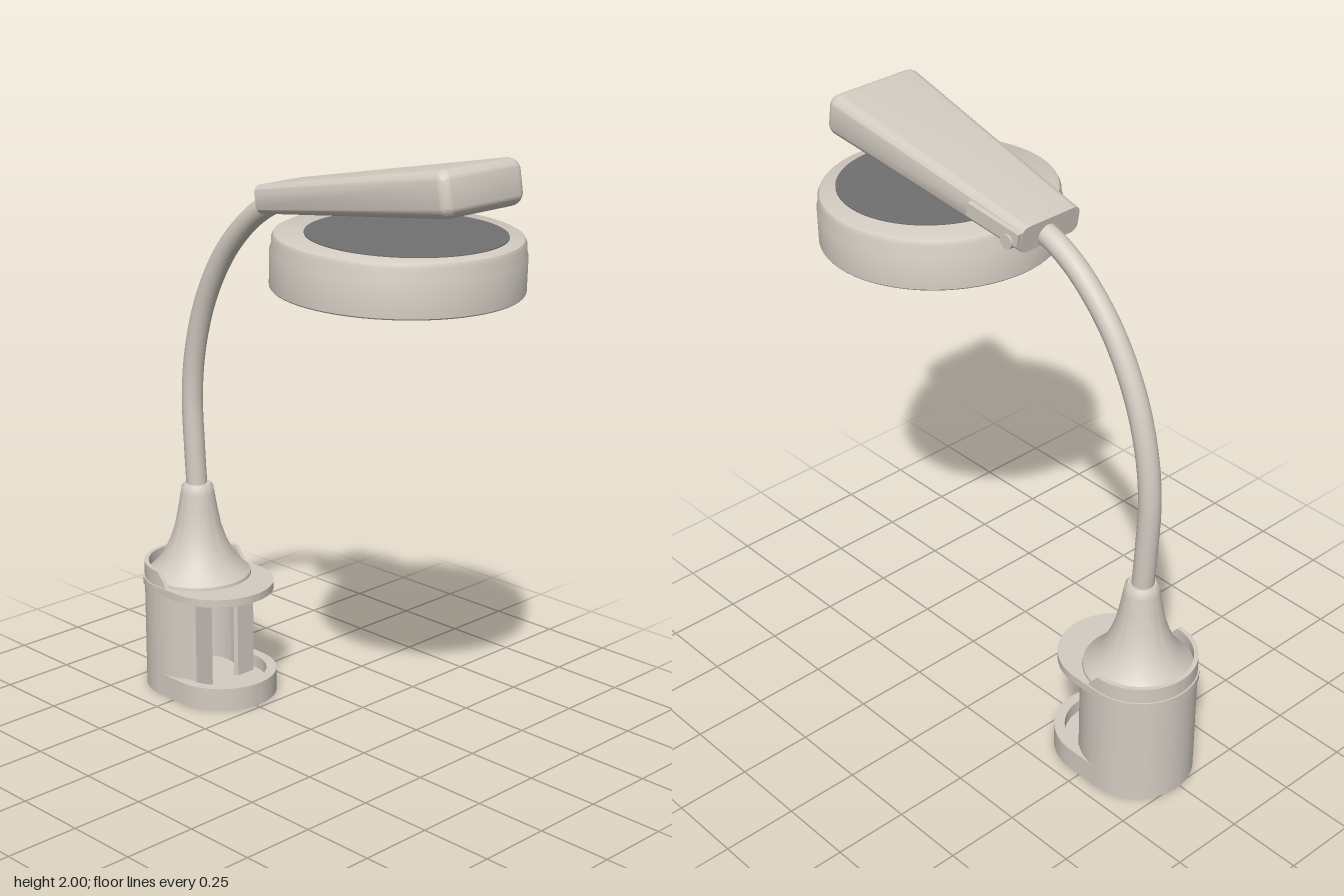
import * as THREE from 'three';
import { toCreasedNormals } from 'three/addons/utils/BufferGeometryUtils.js';
import { RoundedBoxGeometry } from 'three/addons/geometries/RoundedBoxGeometry.js';

export function createModel() {
  const model = new THREE.Group();
  const plastic = new THREE.MeshStandardMaterial({ color: 0xd3ccc2 });
  plastic.name = 'warm grey plastic';
  const glass = new THREE.MeshStandardMaterial({ color: 0x717171 });
  glass.name = 'grey lens';

  const add = (name, geometry, material = plastic, parent = model) => {
    const mesh = new THREE.Mesh(geometry, material);
    mesh.name = name;
    parent.add(mesh);
    return mesh;
  };
  const lathe = points => toCreasedNormals(
    new THREE.LatheGeometry(points.map(p => new THREE.Vector2(...p)), 64), 0.6);
  // Upright extrusion of an outline drawn in x and z
  const slab = (shape, y, height) => {
    const g = new THREE.ExtrudeGeometry(shape, { depth: height, bevelEnabled: false, curveSegments: 32 });
    g.rotateX(Math.PI / 2).translate(0, y + height, 0);
    return toCreasedNormals(g, 0.6);
  };

  // Clamp base, centred on its own axis
  const base = new THREE.Group();
  base.name = 'clampBase';
  base.position.set(0.015, 0, -0.572);
  model.add(base);
  const R = 0.188, reach = 0.117;

  // Long outline: round at the back and at the front lip
  const longOutline = (r, front) => {
    const s = new THREE.Shape();
    s.absarc(0, front, r, 0, Math.PI, false);
    s.absarc(0, 0, r, Math.PI, Math.PI * 2, false);
    s.closePath();
    return s;
  };
  add('footFloor', slab(longOutline(R, reach), 0, 0.035), plastic, base);
  const rim = longOutline(R, reach);
  rim.holes.push(longOutline(R - 0.035, reach));
  add('footRim', slab(rim, 0.035, 0.045), plastic, base);

  // Column: round, cut flat in front, with a slot into its hollow middle
  const cut = Math.asin(0.132 / R), inner = 0.15, slot = Math.acos(0.06 / inner);
  const column = new THREE.Shape();
  column.absarc(0, 0, R, Math.PI - cut, Math.PI * 2 + cut, false);
  column.lineTo(0.06, 0.132);
  column.absarc(0, 0, inner - 0.02, slot, Math.PI - slot, true);
  column.lineTo(-0.06, 0.132);
  column.closePath();
  add('column', slab(column, 0.03, 0.35), plastic, base);

  // Upper jaw and the raised collar behind it
  add('upperJaw', slab(longOutline(R + 0.005, 0.098), 0.375, 0.027), plastic, base);
  const collar = new THREE.Shape();
  collar.absarc(0, 0, R, Math.PI, Math.PI * 2, false);
  collar.absarc(0, 0, R - 0.015, Math.PI * 2, Math.PI, true);
  collar.closePath();
  add('collar', slab(collar, 0.38, 0.075), plastic, base);
  // Sloping ends of the collar
  for (const side of [-1, 1]) {
    const ramp = new THREE.Shape([
      new THREE.Vector2(0, 0), new THREE.Vector2(0.045, 0), new THREE.Vector2(0, 0.055)]);
    const g = new THREE.ExtrudeGeometry(ramp, { depth: 0.015, bevelEnabled: false });
    g.rotateY(-Math.PI / 2).translate(0.0075 + side * (R - 0.0075), 0.4, 0);
    add('collarRamp', g, plastic, base);
  }

  // Flared neck
  add('neck', lathe([
    [0, 0.4], [0.182, 0.4], [0.18, 0.412], [0.15, 0.44], [0.12, 0.48], [0.097, 0.53],
    [0.08, 0.58], [0.068, 0.64], [0.058, 0.7], [0.054, 0.722], [0.045, 0.733], [0, 0.733],
  ]), plastic, base);

  // Curved arm
  const path = new THREE.CatmullRomCurve3([
    [0.7, -0.573], [0.85, -0.583], [1.05, -0.59], [1.22, -0.568], [1.4, -0.51],
    [1.57, -0.41], [1.7, -0.28], [1.765, -0.17], [1.79, -0.09],
  ].map(([y, z]) => new THREE.Vector3(0.015, y, z)));
  add('arm', new THREE.TubeGeometry(path, 64, 0.036, 20));

  // Tapered handle, square at the back end
  const head = new THREE.Group();
  head.name = 'handle';
  head.position.set(0, 1.861, 0.294);
  head.rotation.x = -0.163;
  model.add(head);
  const length = 0.864;
  const box = new RoundedBoxGeometry(0.355, 0.144, length + 0.05, 5, 0.04).translate(0, 0, -0.025);
  const p = box.attributes.position;
  for (let i = 0; i < p.count; i++) {
    const z = Math.max(p.getZ(i), -length / 2);
    const t = 0.5 - z / length;
    p.setXYZ(i, p.getX(i) * (1 - 0.34 * t) + 0.008 * t - 0.003, p.getY(i) * (1 - 0.37 * t), z);
  }
  add('handleBody', toCreasedNormals(box, 0.6), plastic, head);

  // Side switch housing and its round pivot
  const housing = add('switchHousing', new THREE.BoxGeometry(0.03, 0.045, 0.21), plastic, head);
  housing.position.set(0.13, 0.008, -0.325);
  housing.rotation.y = 0.07;
  const pivot = add('pivot', new THREE.CylinderGeometry(0.024, 0.024, 0.03, 24), plastic, head);
  pivot.rotation.z = Math.PI / 2;
  pivot.position.set(0.132, -0.012, -0.393);

  // Round magnifier
  const lamp = new THREE.Group();
  lamp.name = 'magnifier';
  lamp.position.set(0, 1.666, 0.375);
  lamp.rotation.x = 0.026;
  model.add(lamp);
  add('lensRing', lathe([
    [0, -0.084], [0.384, -0.084], [0.387, -0.08], [0.387, 0.03], [0.382, 0.042],
    [0.382, 0.066], [0.376, 0.078], [0.364, 0.084], [0, 0.084],
  ]), plastic, lamp);
  for (const [side, shift] of [[1, 0.03], [-1, 0.01]]) {
    const lens = add(side > 0 ? 'upperLens' : 'lowerLens',
      new THREE.CylinderGeometry(0.306, 0.306, 0.004, 64), glass, lamp);
    lens.position.set(0, side * 0.085, shift);
  }
  return model;
}
